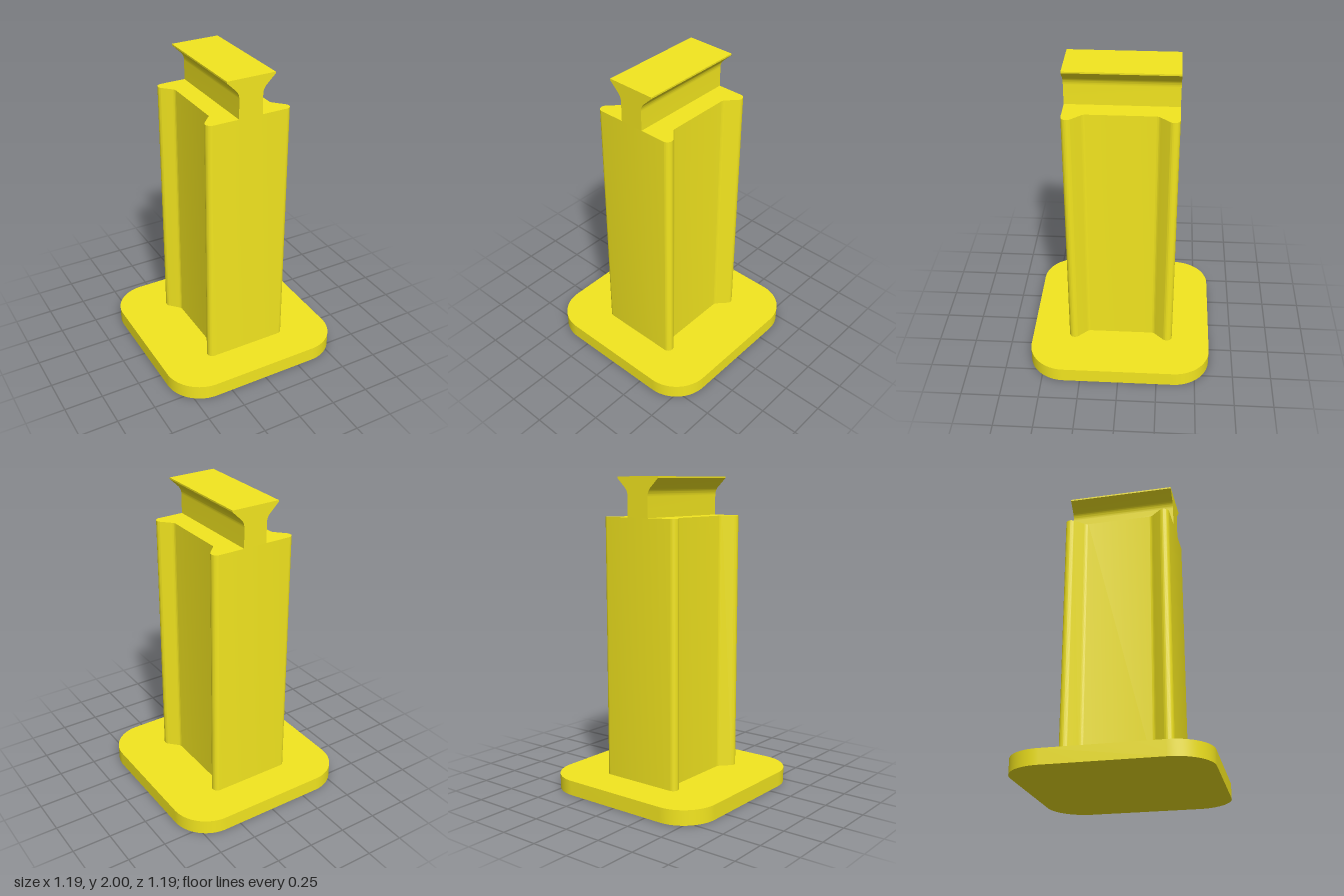
import * as THREE from 'three';
import { toCreasedNormals } from 'three/addons/utils/BufferGeometryUtils.js';

const material = new THREE.MeshStandardMaterial({ color: 0xf3e61f });

function extrude(name, shape, depth) {
  const geometry = new THREE.ExtrudeGeometry(shape, { depth, bevelEnabled: false, curveSegments: 16 });
  const mesh = new THREE.Mesh(toCreasedNormals(geometry, 0.5), material);
  mesh.name = name;
  return mesh;
}

// Points mirrored across x, closing the outline
const mirrorX = (points) => [...points, ...points.map((p) => new THREE.Vector2(-p.x, p.y)).reverse()];

// Rounded square base plate
function basePlate() {
  const h = 0.593, r = 0.235, c = h - r;
  const shape = new THREE.Shape();
  shape.absarc(c, c, r, 0, Math.PI / 2);
  shape.absarc(-c, c, r, Math.PI / 2, Math.PI);
  shape.absarc(-c, -c, r, Math.PI, Math.PI * 1.5);
  shape.absarc(c, -c, r, Math.PI * 1.5, Math.PI * 2);
  shape.closePath();
  const mesh = extrude('basePlate', shape, 0.095);
  mesh.rotation.x = -Math.PI / 2;
  return mesh;
}

// Upright column with rounded flanges and a narrow waist
function column() {
  const r = 0.035, cx = 0.278 - r, cz = 0.346 - r;
  const flange = new THREE.Path();
  flange.moveTo(0.205, 0.205);
  flange.quadraticCurveTo(0.205, 0.22, 0.216, 0.231);
  flange.absarc(cx, cz, r, -Math.PI / 4, Math.PI / 2);
  const upper = flange.getPoints(16);
  const lower = upper.map((p) => new THREE.Vector2(p.x, -p.y)).reverse();
  const mesh = extrude('column', new THREE.Shape(mirrorX([...lower, ...upper])), 1.66);
  mesh.rotation.x = -Math.PI / 2;
  mesh.position.y = 0.095;
  return mesh;
}

// Flared rail along the top of the column
function topRail() {
  const side = new THREE.Path();
  side.moveTo(0.078, 1.754);
  side.lineTo(0.078, 1.88);
  side.quadraticCurveTo(0.078, 1.912, 0.1, 1.934);
  side.lineTo(0.158, 1.99);
  side.lineTo(0.158, 2);
  const mesh = extrude('topRail', new THREE.Shape(mirrorX(side.getPoints(12))), 0.692);
  mesh.position.z = -0.346;
  return mesh;
}

export function createModel() {
  const group = new THREE.Group();
  group.name = 'railStand';
  group.add(basePlate(), column(), topRail());
  return group;
}
